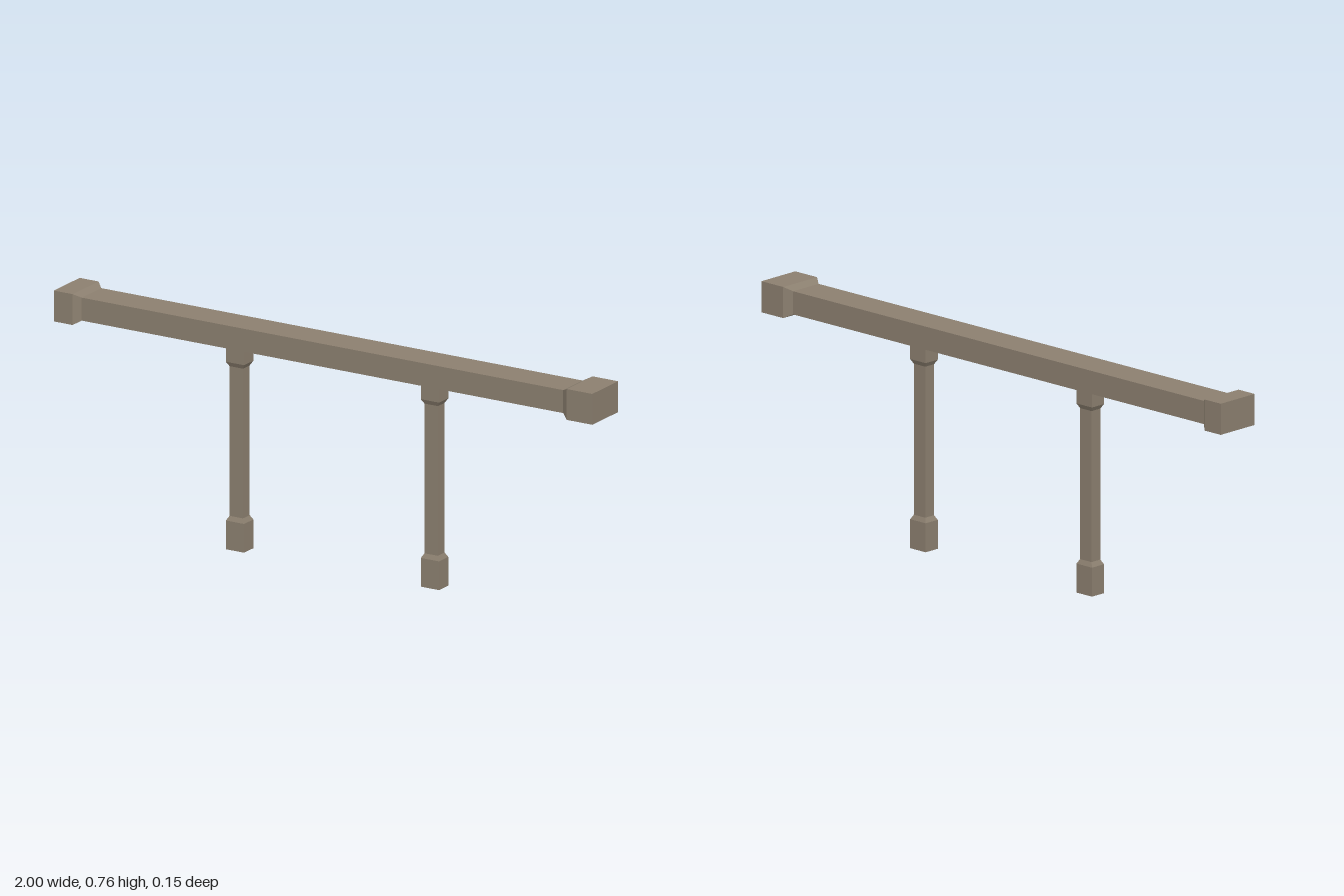
import * as THREE from 'three';

// Square timber along y with thicker chamfered ends; stations are [y, halfX, halfZ]
function timber(name, stations, material) {
  const n = stations.length - 1;
  const box = new THREE.BoxGeometry(2, n, 2, 1, n, 1);
  const p = box.attributes.position;
  for (let i = 0; i < p.count; i++) {
    const [y, hx, hz] = stations[Math.round(p.getY(i) + n / 2)];
    p.setXYZ(i, p.getX(i) * hx, y, p.getZ(i) * hz);
  }
  const geometry = box.toNonIndexed();
  geometry.computeVertexNormals();
  const mesh = new THREE.Mesh(geometry, material);
  mesh.name = name;
  return mesh;
}

export function createModel() {
  const group = new THREE.Group();
  group.name = 'beamOnPosts';
  const wood = new THREE.MeshStandardMaterial({ color: 0x8b7f6f });
  wood.name = 'weathered wood';

  // Horizontal beam, laid along x
  const beam = timber('beam', [
    [-1, 0.051, 0.077], [-0.93, 0.051, 0.077], [-0.908, 0.038, 0.058],
    [0.88, 0.038, 0.058], [0.905, 0.051, 0.077], [1, 0.051, 0.077],
  ], wood);
  beam.rotation.z = -Math.PI / 2;
  beam.position.y = 0.714;
  group.add(beam);

  // Two supporting posts
  for (const [name, x] of [['rightPost', -0.358], ['leftPost', 0.366]]) {
    const post = timber(name, [
      [0, 0.034, 0.0275], [0.095, 0.034, 0.0275], [0.11, 0.025, 0.02],
      [0.605, 0.025, 0.02], [0.62, 0.034, 0.0275], [0.676, 0.034, 0.0275],
    ], wood);
    post.position.x = x;
    group.add(post);
  }
  return group;
}
